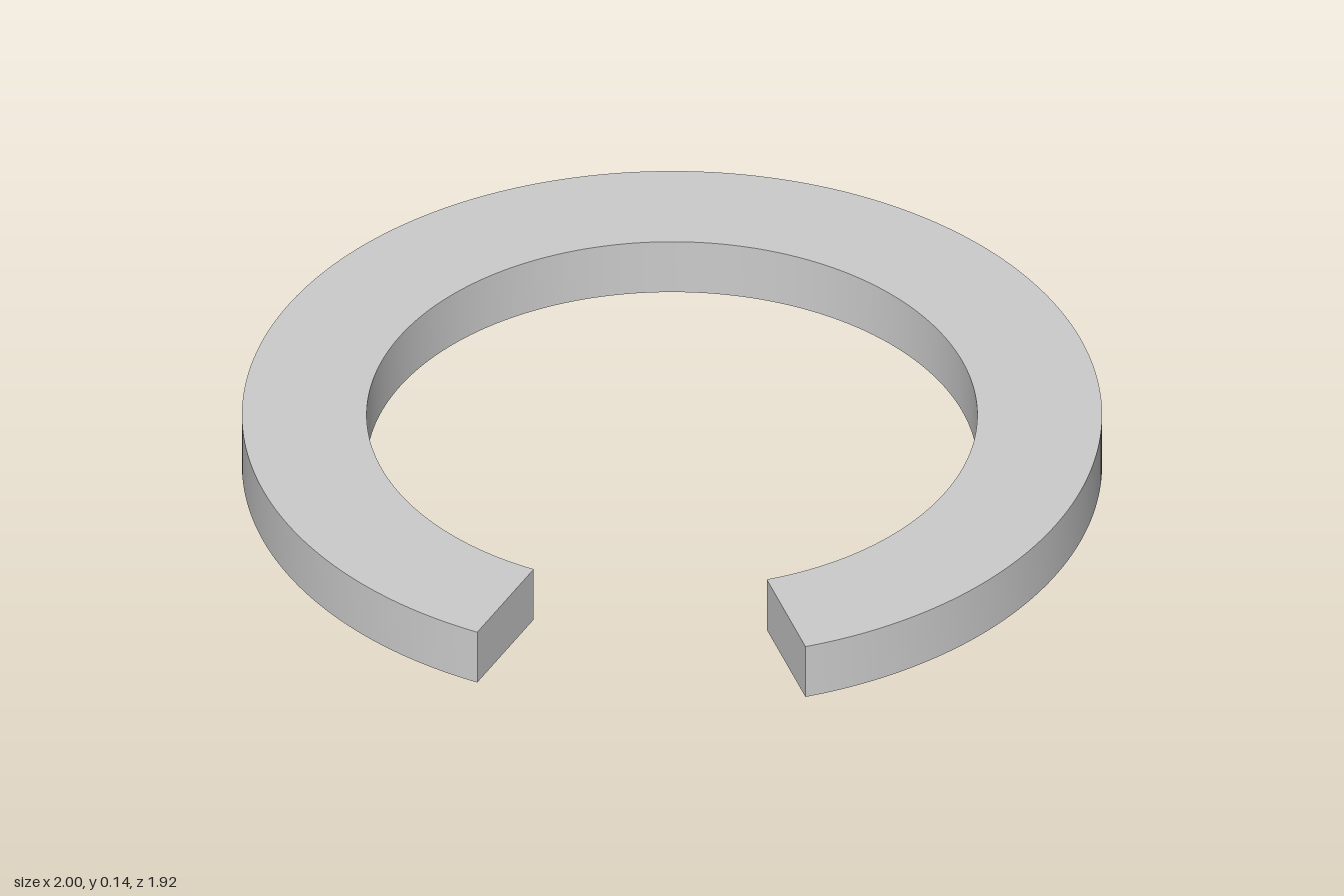
import * as THREE from 'three';
import { toCreasedNormals } from 'three/addons/utils/BufferGeometryUtils.js';

const OUTER = 1, INNER = 0.71, HEIGHT = 0.142;
const HALF_GAP = Math.PI / 8; // half the opening angle, facing the front

export function createModel() {
  const model = new THREE.Group();
  model.name = 'openRing';

  // C-shaped outline with radial ends
  const start = -Math.PI / 2 + HALF_GAP;
  const end = Math.PI * 1.5 - HALF_GAP;
  const outline = new THREE.Shape();
  outline.absarc(0, 0, OUTER, start, end, false);
  outline.absarc(0, 0, INNER, end, start, true);
  outline.closePath();

  // Raised into a flat band, smooth round the walls and sharp at the rims
  const band = new THREE.ExtrudeGeometry(outline, {
    depth: HEIGHT, bevelEnabled: false, curveSegments: 128,
  });
  band.rotateX(-Math.PI / 2);
  band.translate(0, 0, OUTER * (1 - Math.cos(HALF_GAP)) / 2);

  const ring = new THREE.Mesh(
    toCreasedNormals(band, Math.PI / 6),
    new THREE.MeshStandardMaterial({ color: 0xcccccc }),
  );
  ring.name = 'ringBand';
  model.add(ring);
  return model;
}
